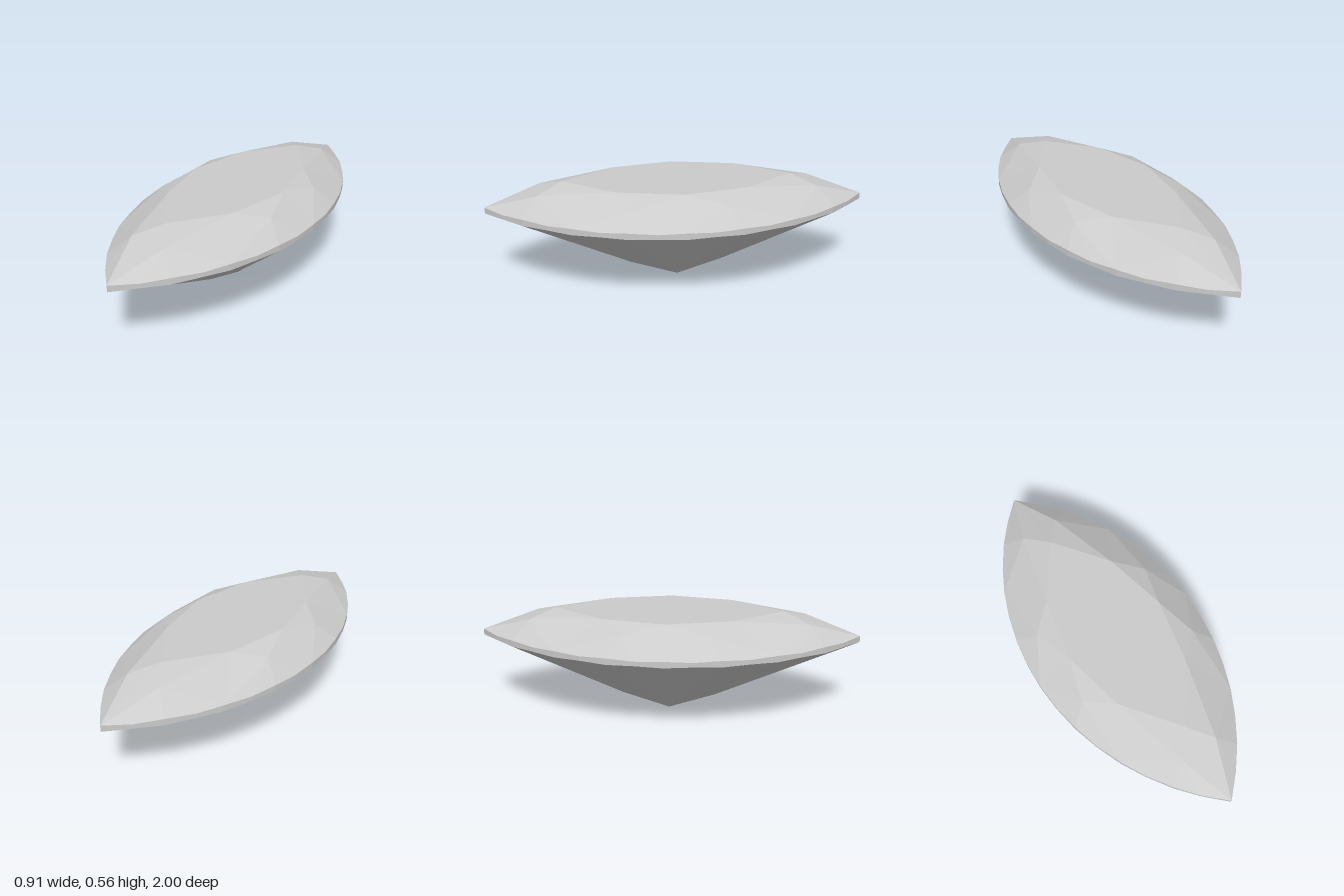
import * as THREE from 'three';

const CENTRE = new THREE.Vector3(0, 0.35, 0);

// Half-width of the pointed oval outline (two circular arcs) at depth z
const outline = (z) => Math.max(0, Math.sqrt(1.3266 ** 2 - z * z) - 0.8716);

// Builds a faceted mesh from one quarter's polygons, mirrored in x and z
function facets(name, polygons, material) {
  const positions = [];
  const ab = new THREE.Vector3(), ac = new THREE.Vector3(), out = new THREE.Vector3();
  for (const sx of [1, -1]) for (const sz of [1, -1]) for (const polygon of polygons) {
    const p = polygon.map(([x, y, z]) => new THREE.Vector3(x * sx, y, z * sz));
    for (let i = 1; i < p.length - 1; i++) {
      const [a, b, c] = [p[0], p[i], p[i + 1]];
      ab.subVectors(b, a);
      ac.subVectors(c, a);
      out.copy(a).add(b).add(c).divideScalar(3).sub(CENTRE);
      // the stone is convex, so every facet faces away from its centre
      const order = ab.cross(ac).dot(out) > 0 ? [a, b, c] : [a, c, b];
      order.forEach((v) => positions.push(v.x, v.y, v.z));
    }
  }
  const geometry = new THREE.BufferGeometry();
  geometry.setAttribute('position', new THREE.Float32BufferAttribute(positions, 3));
  geometry.computeVertexNormals();
  const mesh = new THREE.Mesh(geometry, material);
  mesh.name = name;
  return mesh;
}

export function createModel() {
  const group = new THREE.Group();
  group.name = 'marquiseCutGem';
  const material = new THREE.MeshStandardMaterial({ color: 0xcccccc, flatShading: true });

  // Scalloped girdle, from the tip to the side; odd points are the thin middles
  const depths = [1, 0.9, 0.795, 0.67, 0.55, 0.415, 0.28, 0.14, 0];
  const upper = depths.map((z, i) => [outline(z), i % 2 ? 0.425 : 0.43, z]);
  const lower = depths.map((z, i) => [outline(z), i % 2 ? 0.402 : 0.397, z]);

  // Table corners and star points of the crown
  const top = 0.558, starY = 0.518;
  const t0 = [0, top, 0.6], t1 = [0.2, top, 0.33], t2 = [0.272, top, 0];
  const s0 = [0.1, starY, 0.72], s1 = [0.333, starY, 0.21];

  group.add(facets('table', [[[0, top, 0], t0, t1, t2]], material));

  group.add(facets('crown', [
    [t0, s0, t1], [t1, s1, t2],                             // star facets
    [t0, s0, upper[0]], [t1, s0, upper[4], s1], [t2, s1, upper[8]], // kites
    [s0, ...upper.slice(0, 3)], [s0, ...upper.slice(2, 5)], // upper girdle facets
    [s1, ...upper.slice(4, 7)], [s1, ...upper.slice(6, 9)],
  ], material));

  group.add(facets('girdle', depths.slice(1).map((_, i) =>
    [upper[i], upper[i + 1], lower[i + 1], lower[i]]), material));

  // Pavilion: main facets meet at the culet, lower girdle facets fan from p0..p2
  const culet = [0, 0, 0];
  const p0 = [0, 0.08, 0.25], p1 = [0.085, 0.08, 0.048], p2 = [0.091, 0.08, 0];
  group.add(facets('pavilion', [
    [culet, p0, lower[2], p1], [culet, p1, lower[6], p2],   // mains
    [p0, ...lower.slice(0, 3)], [p1, ...lower.slice(2, 5)], // lower girdle facets
    [p1, ...lower.slice(4, 7)], [p2, ...lower.slice(6, 9)],
  ], material));

  return group;
}
